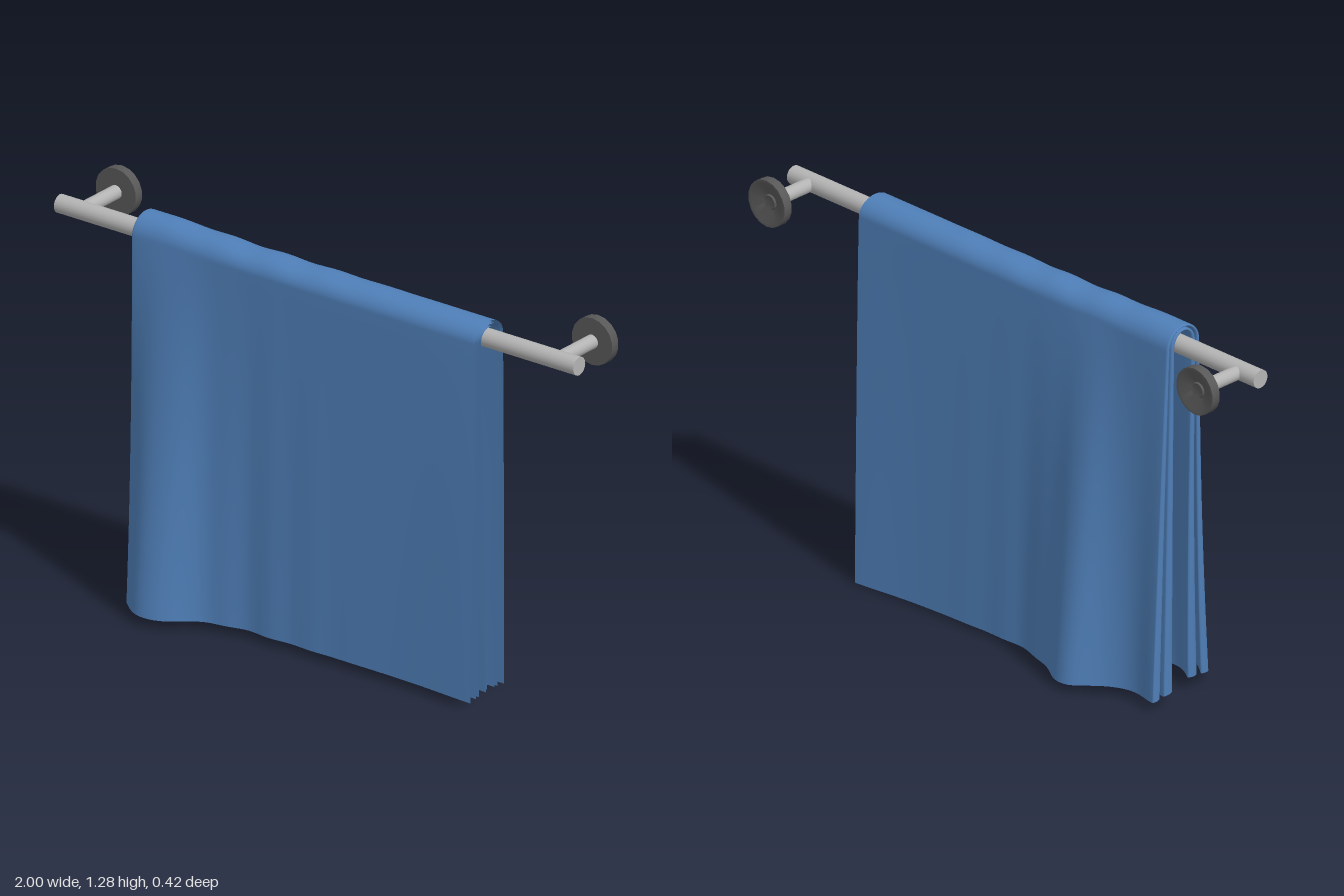
import * as THREE from 'three';
import { toCreasedNormals } from 'three/addons/utils/BufferGeometryUtils.js';

const RAIL_Y = 1.213;

const bump = (x, centre, left, right = left) => {
  const w = x < centre ? left : right;
  return Math.exp(-(((x - centre) / w) ** 2));
};

// How far the hem hangs out from the rail, in front and behind
const frontFlare = x => 0.084 + 0.126 * bump(x, -0.53, 0.12, 0.15) + 0.016 * bump(x, 0.68, 0.2);
const backFlare = x => 0.106 + 0.104 * bump(x, -0.37, 0.09, 0.17)
  + 0.02 * bump(x, -0.68, 0.08) + 0.022 * bump(x, 0.65, 0.2);

// Point on the cloth: f runs along the rail, v from back hem (-1) to front hem (1),
// d is the depth below the outermost layer, dx a shift along the rail
function clothPoint(f, d, dx, v) {
  const ARC = 0.12;
  const side = Math.sign(v) || 1;
  const a = Math.abs(v);
  const h = Math.max(0, (a - ARC) / (1 - ARC));
  const front = side > 0;
  const left = -0.665 + (front ? 0.04 * h : 0.005 * h);
  const right = 0.652 - (front ? -0.006 * h : 0.04 * h);
  const x = left + (right - left) * f + dx;
  if (a < ARC) {
    // over the rail, with small creases along the crest
    const t = (v / ARC) * Math.PI / 2;
    const crest = 0.055 + 0.014 * bump(x, -0.66, 0.1, 0.3) + 0.003 * Math.sin(31 * x) * bump(x, -0.2, 0.35);
    return [x, RAIL_Y + (crest - 0.62 * d) * Math.cos(t), (0.07 - d) * Math.sin(t)];
  }
  // hanging part
  const hem = front ? 0.032 + 0.008 * bump(x, -0.66, 0.15) : 0.022 - 0.026 * x;
  const flare = (front ? frontFlare(x) : backFlare(x)) - 0.07;
  const pleat = 0.005 * Math.sin(38 * x + (front ? 0 : 1.5)) * bump(x, -0.3, 0.3) * h;
  const z = 0.07 - d + flare * Math.pow(h, 0.92) * (1 - 8 * d) - 1.2 * d * h + pleat;
  return [x, RAIL_Y + (hem + 0.3 * d - RAIL_Y) * h, side * z];
}

// A doubled cloth layer, folded at its right-hand end (-x) and open at the other
function foldedLayer(d0, d1) {
  const path = [];
  const N = 72, r = (d1 - d0) / 2;
  for (let i = 0; i <= N; i++) path.push([1 - i / N, d0, 0]);
  for (let i = 1; i < 6; i++) {
    const t = (i / 6) * Math.PI;
    path.push([0, d0 + r - r * Math.cos(t), -r * Math.sin(t)]);
  }
  for (let i = 0; i <= N; i++) path.push([i / N, d1, 0]);

  const vs = [];
  for (let i = -10; i <= 10; i++) vs.push(0.012 * i);
  for (let i = 1; i <= 24; i++) {
    const v = 0.12 + 0.88 * i / 24;
    vs.push(v);
    vs.unshift(-v);
  }
  const pos = [], index = [], cols = vs.length;
  path.forEach(([f, d, dx], i) => vs.forEach((v, j) => {
    pos.push(...clothPoint(f, d, dx, v));
    if (i && j) {
      const a = (i - 1) * cols + j - 1, b = a + 1, c = a + cols, e = c + 1;
      index.push(a, c, b, b, c, e);
    }
  }));
  // keep the winding facing outwards on the outer skin
  for (let k = 0; k < index.length; k += 3) [index[k + 1], index[k + 2]] = [index[k + 2], index[k + 1]];
  const g = new THREE.BufferGeometry();
  g.setAttribute('position', new THREE.Float32BufferAttribute(pos, 3));
  g.setIndex(index);
  g.computeVertexNormals();
  return g;
}

export function createModel() {
  const model = new THREE.Group();
  model.name = 'towelRail';
  const material = (name, color, side = THREE.FrontSide) => {
    const m = new THREE.MeshStandardMaterial({ color, side });
    m.name = name;
    return m;
  };
  const cloth = material('blueCloth', 0x4f7fb8, THREE.DoubleSide);
  const metal = material('lightMetal', 0xb4b4b4);
  const dark = material('darkMetal', 0x585858);

  const add = (name, geometry, mat, x = 0, y = 0, z = 0) => {
    const mesh = new THREE.Mesh(geometry, mat);
    mesh.name = name;
    mesh.position.set(x, y, z);
    model.add(mesh);
    return mesh;
  };

  // Rail
  add('rail', new THREE.CylinderGeometry(0.03, 0.03, 2, 20).rotateZ(Math.PI / 2), metal, 0, RAIL_Y, 0);

  // Wall brackets: post and flange with a dished back
  const profile = [[0, 0], [0.078, 0], [0.078, 0.031], [0.068, 0.031], [0.026, 0.014], [0.023, 0.02], [0, 0.02]]
    .map(p => new THREE.Vector2(...p));
  const flange = toCreasedNormals(new THREE.LatheGeometry(profile, 18).rotateX(-Math.PI / 2), 0.5);
  const post = new THREE.CylinderGeometry(0.023, 0.023, 0.175, 16).rotateX(Math.PI / 2);
  for (const [side, s] of [['left', 1], ['right', -1]]) {
    add(side + 'Post', post, metal, s * 0.917, RAIL_Y, -0.0875);
    add(side + 'Flange', flange, dark, s * 0.917, RAIL_Y, -0.171);
  }

  // Folded towel: two nested doubled layers
  add('towelOuterFold', foldedLayer(0, 0.012), cloth);
  add('towelInnerFold', foldedLayer(0.018, 0.032), cloth);
  return model;
}
